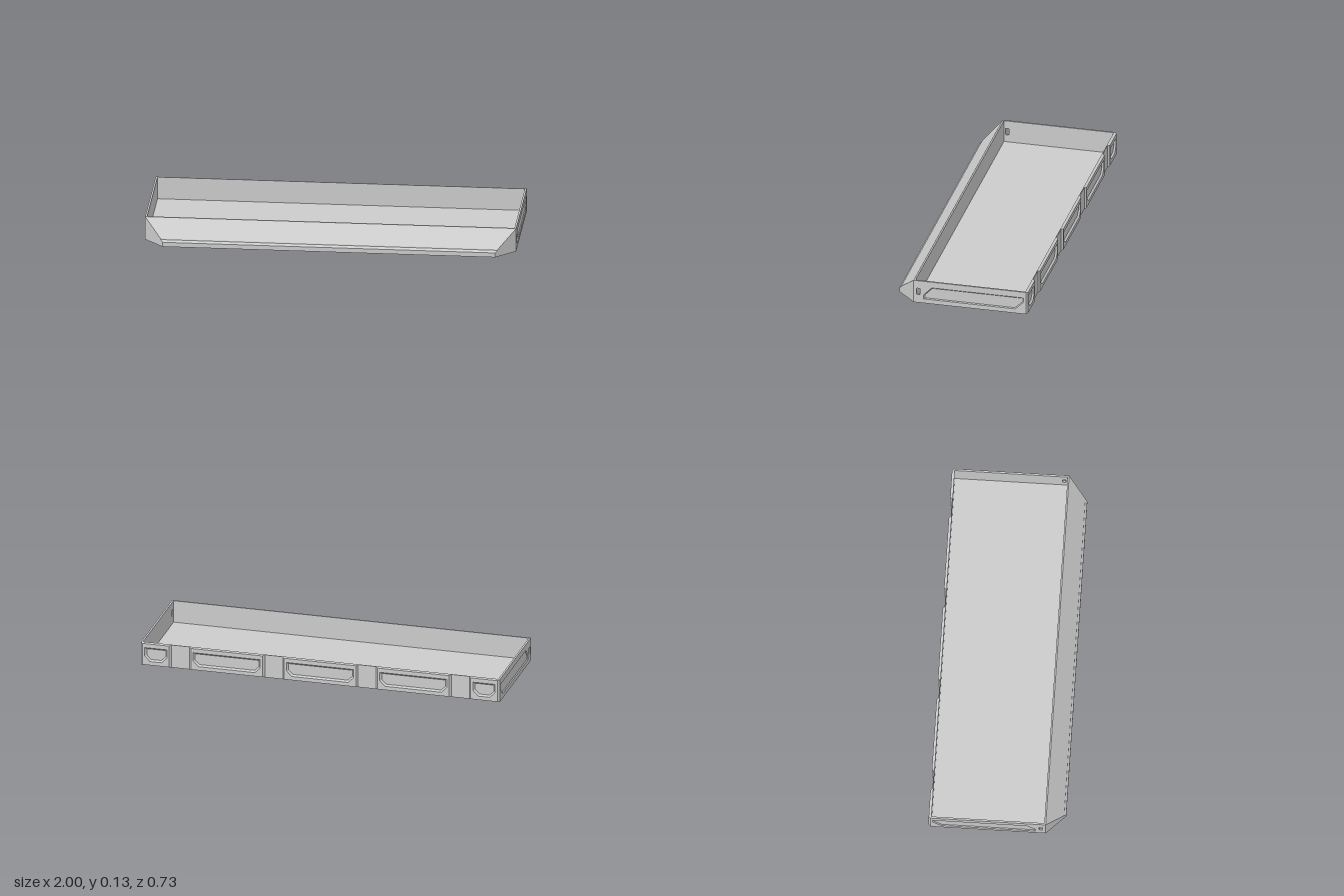
import * as THREE from 'three';
import { mergeGeometries } from 'three/addons/utils/BufferGeometryUtils.js';

const material = new THREE.MeshStandardMaterial({ color: 0xcccccc, flatShading: true, side: THREE.DoubleSide });
const H = 0.13, FRONT = 0.263, BACK = -0.357, WALL = 0.005;

const rect = (x0, y0, x1, y1) => [[x0, y0], [x1, y0], [x1, y1], [x0, y1]];
const mirror = (pts) => pts.map(([x, y]) => [-x, y]).reverse();
const vectors = (pts) => pts.map(([x, y]) => new THREE.Vector2(x, y));

function makeShape(outer, holes) {
  const shape = new THREE.Shape(vectors(outer));
  shape.holes = holes.map((h) => new THREE.Path(vectors(h)));
  return shape;
}

// Shrink a counter-clockwise polygon by d with mitred corners
function inset(pts, d) {
  const n = pts.length;
  const normal = ([ax, ay], [bx, by]) => {
    const l = Math.hypot(bx - ax, by - ay);
    return [-(by - ay) / l, (bx - ax) / l];
  };
  return pts.map((p, i) => {
    const a = normal(pts[(i + n - 1) % n], p), b = normal(p, pts[(i + 1) % n]);
    const k = d / (1 + a[0] * b[0] + a[1] * b[1]);
    return [p[0] + (a[0] + b[0]) * k, p[1] + (a[1] + b[1]) * k];
  });
}

function triangles(list) {
  const g = new THREE.BufferGeometry();
  g.setAttribute('position', new THREE.Float32BufferAttribute(list.flat(), 3));
  g.computeVertexNormals();
  return g;
}

// Band of quads between two closed outlines at different heights
function loft(a, za, b, zb) {
  const out = [];
  a.forEach((p, i) => {
    const j = (i + 1) % a.length;
    const A = [...p, za], B = [...a[j], za], C = [...b[j], zb], D = [...b[i], zb];
    out.push(A, B, C, A, C, D);
  });
  return triangles(out);
}

// Raised frame: outer edge, flat face, and recesses with sloped sides
function frame(base, face, recesses, depth) {
  const flat = new THREE.ShapeGeometry(makeShape(face, recesses.map((r) => r.pts)));
  flat.translate(0, 0, depth);
  const parts = [flat.toNonIndexed(), loft(base, 0, face, depth)];
  for (const r of recesses) {
    parts.push(loft(r.pts, depth, r.slope ? inset(r.pts, r.slope) : r.pts, 0));
  }
  parts.forEach((g) => g.deleteAttribute('uv'));
  return mergeGeometries(parts);
}

function add(parent, name, geometry) {
  const mesh = new THREE.Mesh(geometry, material);
  mesh.name = name;
  parent.add(mesh);
  return mesh;
}

function box(parent, name, x0, x1, y0, y1, z0, z1) {
  const mesh = add(parent, name, new THREE.BoxGeometry(x1 - x0, y1 - y0, z1 - z0));
  mesh.position.set((x0 + x1) / 2, (y0 + y1) / 2, (z0 + z1) / 2);
}

// Side wall with a long sloped recess and a handle slot cut right through
function sideWall(side) {
  const group = new THREE.Group();
  group.name = side > 0 ? 'leftWall' : 'rightWall';
  const flip = side > 0 ? (p) => p : mirror;
  const outline = flip(rect(-FRONT, 0, -BACK, H));
  const c = 0.003;
  const slot = flip([
    [-0.247 + c, 0.047], [-0.228 - c, 0.047], [-0.228, 0.047 + c], [-0.228, 0.085 - c],
    [-0.228 - c, 0.085], [-0.247 + c, 0.085], [-0.247, 0.085 - c], [-0.247, 0.047 + c],
  ]);
  const recess = flip([
    [-0.208, 0.025], [0.298, 0.025], [0.345, 0.071],
    [0.345, 0.096], [-0.163, 0.096], [-0.208, 0.049],
  ]);
  add(group, 'innerSkin', new THREE.ExtrudeGeometry(makeShape(outline, [slot]), { depth: WALL, bevelEnabled: false }));
  const skin = add(group, 'recessedSkin', frame(outline, outline, [{ pts: recess, slope: 0.005 }, { pts: slot, slope: 0 }], WALL));
  skin.position.z = WALL;
  group.rotation.y = side * Math.PI / 2;
  group.position.x = side * (1 - 2 * WALL);
  return group;
}

// Back panel: chamfered block with a recess whose lower corners are cut
function backPanel(x0, x1) {
  const e = 0.01, v = 0.004, m = 0.023, cut = 0.03;
  const l = x0 + m, r = x1 - m, b = 0.025, t = 0.103;
  const recess = [[l + cut, b], [r - cut, b], [r, b + cut], [r, t], [l, t], [l, b + cut]];
  return frame(rect(x0, 0, x1, H), rect(x0 + e, v, x1 - e, H - v), [{ pts: recess, slope: 0.009 }], 0.01);
}

// Hollow sloped nose, open underneath, tapering at both ends
function noseGeometry() {
  const profile = [[FRONT, H], [0.354, 0.041], [0.355, 0.036], [0.367, 0.025], [0.367, 0]];
  const point = (side, [z, y]) => [side * (1 - (z - FRONT)), y, z];
  const out = [];
  for (let i = 0; i < profile.length - 1; i++) {
    const a = point(-1, profile[i]), b = point(1, profile[i]);
    const c = point(1, profile[i + 1]), d = point(-1, profile[i + 1]);
    out.push(a, d, c, a, c, b);
    // End cheeks
    out.push([1, 0, FRONT], b, c, [-1, 0, FRONT], d, a);
  }
  return triangles(out);
}

export function createModel() {
  const model = new THREE.Group();
  model.name = 'tray';
  const inner = 1 - 2 * WALL;

  // Tray body
  box(model, 'floor', -inner, inner, 0, 0.006, BACK, FRONT);
  box(model, 'frontWall', -inner, inner, 0, H, FRONT - 0.008, FRONT);
  box(model, 'backWall', -inner, inner, 0, H, BACK, BACK + WALL);
  model.add(sideWall(1), sideWall(-1));

  // Back panels with vertical channels between them
  const back = new THREE.Group();
  back.name = 'backPanels';
  for (const [x0, x1] of [[-1, -0.83], [-0.73, -0.31], [-0.21, 0.21], [0.31, 0.73], [0.83, 1]]) {
    add(back, 'backPanel', backPanel(x0, x1));
  }
  back.rotation.y = Math.PI;
  back.position.z = BACK;
  model.add(back);

  add(model, 'slopedNose', noseGeometry());
  return model;
}
